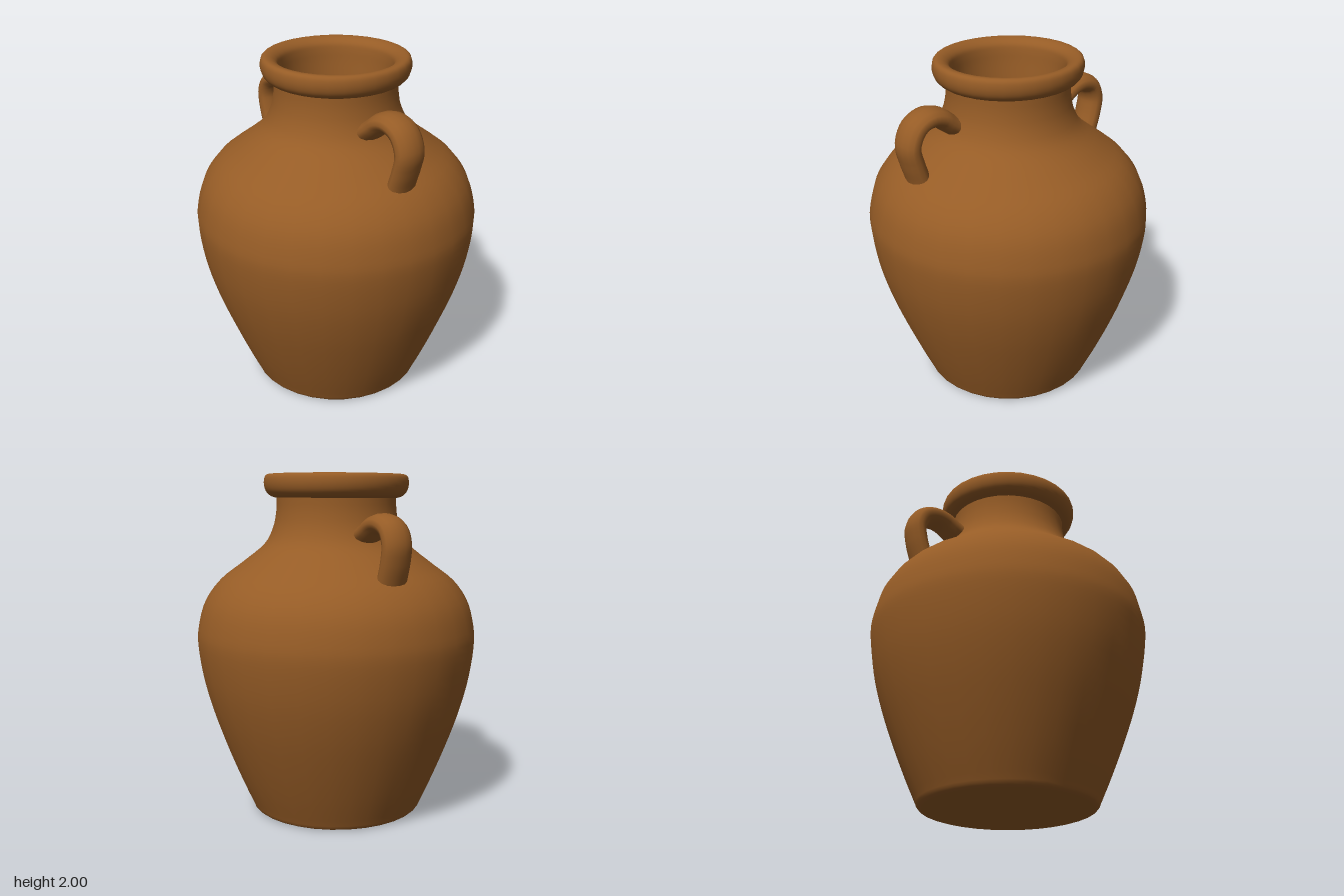
import * as THREE from 'three';

const SEGMENTS = 32;
const v2 = ([r, y]) => new THREE.Vector2(r, y);

function lathe(name, points, material) {
  const mesh = new THREE.Mesh(new THREE.LatheGeometry(points, SEGMENTS), material);
  mesh.name = name;
  return mesh;
}

// Flattened loop handle; path points are [z, y], swept in the plane x = 0
function handle(name, path, width, x, side, material) {
  const curve = new THREE.CatmullRomCurve3(
    path.map(([z, y]) => new THREE.Vector3(0, y, z * side)));
  const geometry = new THREE.TubeGeometry(curve, 28, 0.056, 14);
  geometry.scale(width / 0.112, 1, 1);
  const mesh = new THREE.Mesh(geometry, material);
  mesh.name = name;
  mesh.position.x = x;
  return mesh;
}

export function createModel() {
  const clay = new THREE.MeshStandardMaterial({ color: 0x965c26 });
  clay.name = 'brown clay';
  const dark = new THREE.MeshStandardMaterial({ color: 0x330d10 });
  dark.name = 'dark red';

  const jar = new THREE.Group();
  jar.name = 'jar';

  // Rounded body from the foot to the top of the neck
  const bodyCurve = new THREE.SplineCurve([
    [0.515, 0.03], [0.59, 0.2], [0.67, 0.4], [0.74, 0.6], [0.793, 0.8],
    [0.822, 1.0], [0.815, 1.12], [0.775, 1.26], [0.69, 1.38], [0.56, 1.48],
    [0.43, 1.585], [0.375, 1.68], [0.353, 1.78], [0.35, 1.87],
  ].map(v2));
  const foot = [[0.48, 0], [0.5, 0.006], [0.51, 0.016]].map(v2);
  jar.add(lathe('body', [...foot, ...bodyCurve.getPoints(44)], clay));

  // Flat underside
  const base = new THREE.Mesh(new THREE.CircleGeometry(0.482, SEGMENTS), clay);
  base.name = 'base';
  base.rotation.x = Math.PI / 2;
  jar.add(base);

  // Rolled lip continuing into the inner wall of the neck
  const lipCurve = new THREE.SplineCurve([
    [0.345, 1.855], [0.385, 1.867], [0.412, 1.895], [0.423, 1.935],
    [0.418, 1.975], [0.397, 1.992], [0.36, 1.985], [0.33, 1.96],
    [0.32, 1.92], [0.314, 1.85], [0.3, 1.7], [0.288, 1.45],
  ].map(v2));
  const lip = lathe('lip', lipCurve.getPoints(44), clay);
  // The mouth leans slightly
  const pos = lip.geometry.attributes.position;
  for (let i = 0; i < pos.count; i++) {
    pos.setY(i, pos.getY(i) + 0.009 * pos.getX(i) - 0.009 * pos.getZ(i));
  }
  jar.add(lip);

  // Dark surface inside the neck
  const inside = new THREE.Mesh(new THREE.CircleGeometry(0.295, SEGMENTS), dark);
  inside.name = 'inside';
  inside.rotation.x = -Math.PI / 2;
  inside.position.y = 1.46;
  jar.add(inside);

  // Two handmade, slightly uneven handles
  jar.add(handle('frontHandle', [
    [0.33, 1.64], [0.4, 1.69], [0.46, 1.735], [0.535, 1.75], [0.615, 1.715],
    [0.66, 1.62], [0.64, 1.52], [0.61, 1.43], [0.59, 1.36],
  ], 0.19, -0.053, 1, clay));
  jar.add(handle('backHandle', [
    [0.33, 1.64], [0.4, 1.675], [0.47, 1.715], [0.545, 1.725], [0.62, 1.695],
    [0.655, 1.62], [0.645, 1.53], [0.615, 1.43], [0.59, 1.36],
  ], 0.18, 0.015, -1, clay));

  return jar;
}
